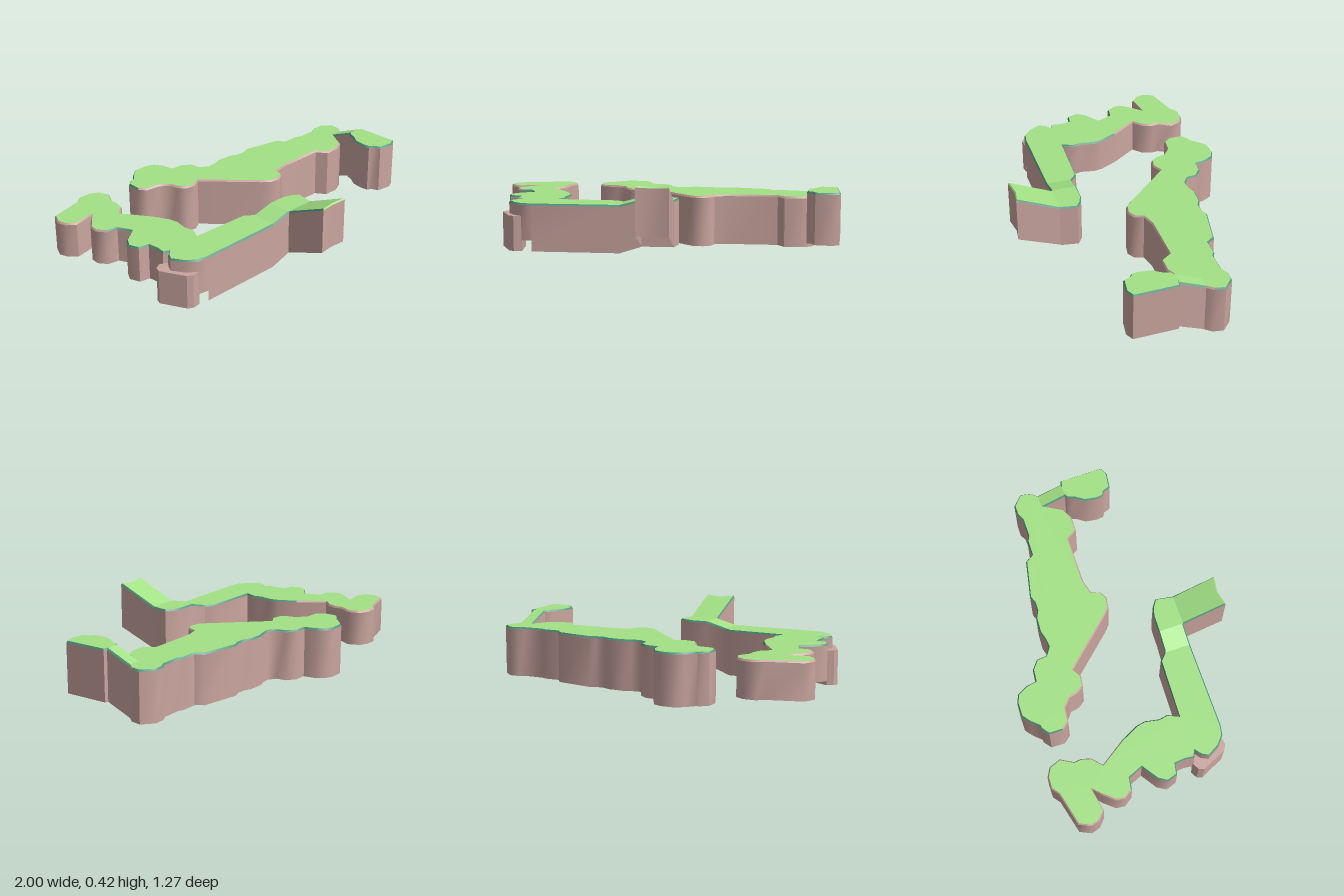
import * as THREE from 'three';
import { toCreasedNormals } from 'three/addons/utils/BufferGeometryUtils.js';

const paint = (name, color) => {
  const material = new THREE.MeshStandardMaterial({ color, side: THREE.DoubleSide });
  material.name = name;
  return material;
};
const rock = paint('rock', 0xcaa59f);
const grass = paint('grass', 0xa3e285);
const rim = paint('grassRim', 0x4c967e);

function meshFrom(name, positions, material) {
  const geo = new THREE.BufferGeometry();
  geo.setAttribute('position', new THREE.Float32BufferAttribute(positions, 3));
  const mesh = new THREE.Mesh(toCreasedNormals(geo, 0.9), material);
  mesh.name = name;
  return mesh;
}

// quad from bottom and top corners of an edge, facing outward
const quad = (a0, b0, a1, b1) => [...b0, ...a0, ...a1, ...b0, ...a1, ...b1];

// Ledge with rock walls, a narrow bevel and a grass top.
// flat is [x, z, x, z...]; top and base give heights; open lists edges that join a neighbour;
// bevel picks the bevel colour from the middle of an edge.
function cliff(name, flat, top, base, open = [], bevel = () => rim) {
  const inset = 0.007, drop = 0.01;
  const pts = [];
  for (let i = 0; i < flat.length; i += 2) pts.push(new THREE.Vector2(flat[i], flat[i + 1]));
  const n = pts.length;
  const normal = i => {
    const a = pts[i], b = pts[(i + 1) % n];
    return new THREE.Vector2(b.y - a.y, a.x - b.x).normalize();
  };
  const inner = pts.map((p, i) => {
    const prev = (i + n - 1) % n, next = (i + 1) % n;
    const openPrev = open.includes(prev), openNext = open.includes(i);
    if (openPrev && openNext) return p.clone();
    if (openPrev || openNext) { // slide along the joint so neighbours meet
      const dir = pts[openPrev ? prev : next].clone().sub(p).normalize();
      const across = Math.abs(dir.dot(normal(openPrev ? i : prev)));
      return p.clone().addScaledVector(dir, inset / across);
    }
    return p.clone().addScaledVector(normal(prev).add(normal(i)).normalize(), -inset);
  });
  const lip = pts.map(p => [p.x, top(p.x, p.y) - drop, p.y]);
  const crown = inner.map(p => [p.x, top(p.x, p.y), p.y]);
  // base height is read just inside the edge, so it may step at a corner
  const foot = (p, q) => {
    const m = p.clone().lerp(q, 0.02);
    return [p.x, base(m.x, m.y), p.y];
  };

  const walls = [], cover = [], bevels = new Map();
  for (let i = 0; i < n; i++) {
    if (open.includes(i)) continue;
    const j = (i + 1) % n, a = pts[i], b = pts[j];
    walls.push(...quad(foot(a, b), foot(b, a), lip[i], lip[j]));
    const material = bevel((a.x + b.x) / 2, (a.y + b.y) / 2);
    if (!bevels.has(material)) bevels.set(material, []);
    bevels.get(material).push(...quad(lip[i], lip[j], crown[i], crown[j]));
  }
  for (const [a, b, c] of THREE.ShapeUtils.triangulateShape(inner, []))
    cover.push(...crown[c], ...crown[b], ...crown[a]);

  const group = new THREE.Group();
  group.name = name;
  group.add(meshFrom('rockWall', walls, rock), meshFrom('grassTop', cover, grass));
  for (const [material, positions] of bevels) group.add(meshFrom('topBevel', positions, material));
  return group;
}

const level = y => () => y;
const blend = (v, v0, v1, y0, y1) => y0 + (y1 - y0) * (v - v0) / (v1 - v0);

export function createModel() {
  const model = new THREE.Group();
  model.name = 'cliffIslands';

  // winding western ledge with its front arm, which reaches lower
  model.add(cliff('westLedge', [
    -0.97, -0.525, -0.78, -0.572, -0.74, -0.603, -0.67, -0.603, -0.62, -0.575, -0.595, -0.51,
    -0.635, -0.44, -0.63, -0.40, -0.645, -0.345, -0.70, -0.295, -0.60, -0.15, -0.55, -0.05,
    -0.54, 0, -0.555, 0.08, -0.545, 0.13, -0.575, 0.19, -0.24, 0.20, -0.2, 0.235,
    -0.2, 0.39, -0.69, 0.39, -0.75, 0.38, -0.80, 0.34, -0.84, 0.27, -0.82, 0.23, -0.785, 0.205,
    -0.82, 0.19, -0.815, 0.14, -0.82, 0.08, -0.88, 0.07, -0.90, 0.01, -0.87, -0.04,
    -0.78, -0.10, -0.815, -0.18, -0.88, -0.19, -0.915, -0.24, -0.91, -0.29, -0.86, -0.35,
    -0.81, -0.395, -0.94, -0.37, -0.985, -0.41, -1.0, -0.46,
  ], level(0.28), (x, z) => (x > -0.69 && z > 0.19 ? 0.015 : 0.075), [17],
  (x, z) => (z < -0.2 ? rock : rim)));

  // slope up to the raised end of the arm, then the ramp
  model.add(cliff('armSlope', [
    -0.2, 0.235, -0.19, 0.24, -0.08, 0.243, -0.08, 0.39, -0.2, 0.39,
  ], x => blend(x, -0.2, -0.08, 0.28, 0.312), x => blend(x, -0.2, -0.08, 0.015, 0.055), [2, 4]));
  model.add(cliff('armEnd', [
    -0.08, 0.243, 0.02, 0.245, 0.07, 0.26, 0.113, 0.29, 0.097, 0.39, -0.08, 0.39,
  ], level(0.312), level(0.055), [4, 5]));
  model.add(meshFrom('wallUnderRamp', quad(
    [0.097, 0.055, 0.39], [-0.08, 0.055, 0.39], [0.097, 0.305, 0.39], [-0.08, 0.305, 0.39]), rock));
  model.add(cliff('ramp', [
    -0.08, 0.39, 0.097, 0.39, 0.097, 0.632, 0.01, 0.62, -0.08, 0.636,
  ], (x, z) => blend(z, 0.39, 0.63, 0.312, 0.417), (x, z) => blend(z, 0.39, 0.63, 0.055, 0.15), [0],
  (x, z) => (z > 0.6 ? grass : rim)));

  // boulder against the outer corner
  const outline = [[-0.84, 0.18], [-0.76, 0.22], [-0.745, 0.38], [-0.79, 0.387],
    [-0.82, 0.37], [-0.887, 0.23], [-0.875, 0.2]];
  const boulderGeo = new THREE.ExtrudeGeometry(
    new THREE.Shape(outline.map(([x, z]) => new THREE.Vector2(x, -z))), { depth: 0.195, bevelEnabled: false });
  boulderGeo.rotateX(-Math.PI / 2);
  boulderGeo.translate(0, 0.015, 0);
  const boulder = new THREE.Mesh(boulderGeo, rock);
  boulder.name = 'cornerBoulder';
  model.add(boulder);

  // long eastern ledge, with a green rim along its back only
  model.add(cliff('eastLedge', [
    -0.40, -0.555, -0.385, -0.555, -0.345, -0.60, -0.30, -0.635, -0.22, -0.635, -0.17, -0.615,
    -0.14, -0.56, -0.13, -0.50, -0.06, -0.495, -0.01, -0.455, -0.005, -0.40, 0.04, -0.37,
    0.09, -0.375, 0.14, -0.39, 0.23, -0.385, 0.27, -0.365, 0.32, -0.365, 0.36, -0.38,
    0.58, -0.335, 0.61, -0.29, 0.70, -0.29, 0.73, -0.275, 0.84, -0.275, 0.88, -0.295,
    0.94, -0.295, 1.0, -0.24, 0.99, -0.18, 0.96, -0.145, 0.88, -0.145, 0.83, -0.03,
    0.77, 0, 0.68, 0, 0.64, -0.06, 0.36, -0.06, 0.28, -0.04, 0.265, 0.01, 0.22, 0.035,
    0.16, 0.025, 0.12, -0.01, -0.13, -0.28, -0.18, -0.25, -0.24, -0.26, -0.27, -0.30,
    -0.28, -0.35, -0.33, -0.39, -0.41, -0.40, -0.445, -0.44, -0.445, -0.52,
  ], level(0.287), level(0), [27], (x, z) => (z < -0.37 + 0.2 * x ? rim : rock)));

  // sloped bridge and small raised ledge
  model.add(cliff('bridge', [
    0.88, -0.145, 0.96, -0.145, 0.96, 0, 0.88, 0,
  ], (x, z) => blend(z, -0.145, 0, 0.287, 0.347), (x, z) => blend(z, -0.145, 0, 0, 0.06), [0, 2]));
  model.add(cliff('smallLedge', [
    0.88, 0, 0.96, 0, 0.98, 0.005, 0.985, 0.255, 0.94, 0.278, 0.85, 0.265, 0.835, 0.225,
    0.81, 0.21, 0.805, 0.17, 0.815, 0.10, 0.85, 0.05, 0.865, 0.01,
  ], level(0.347), level(0.06), [0]));

  return model;
}
